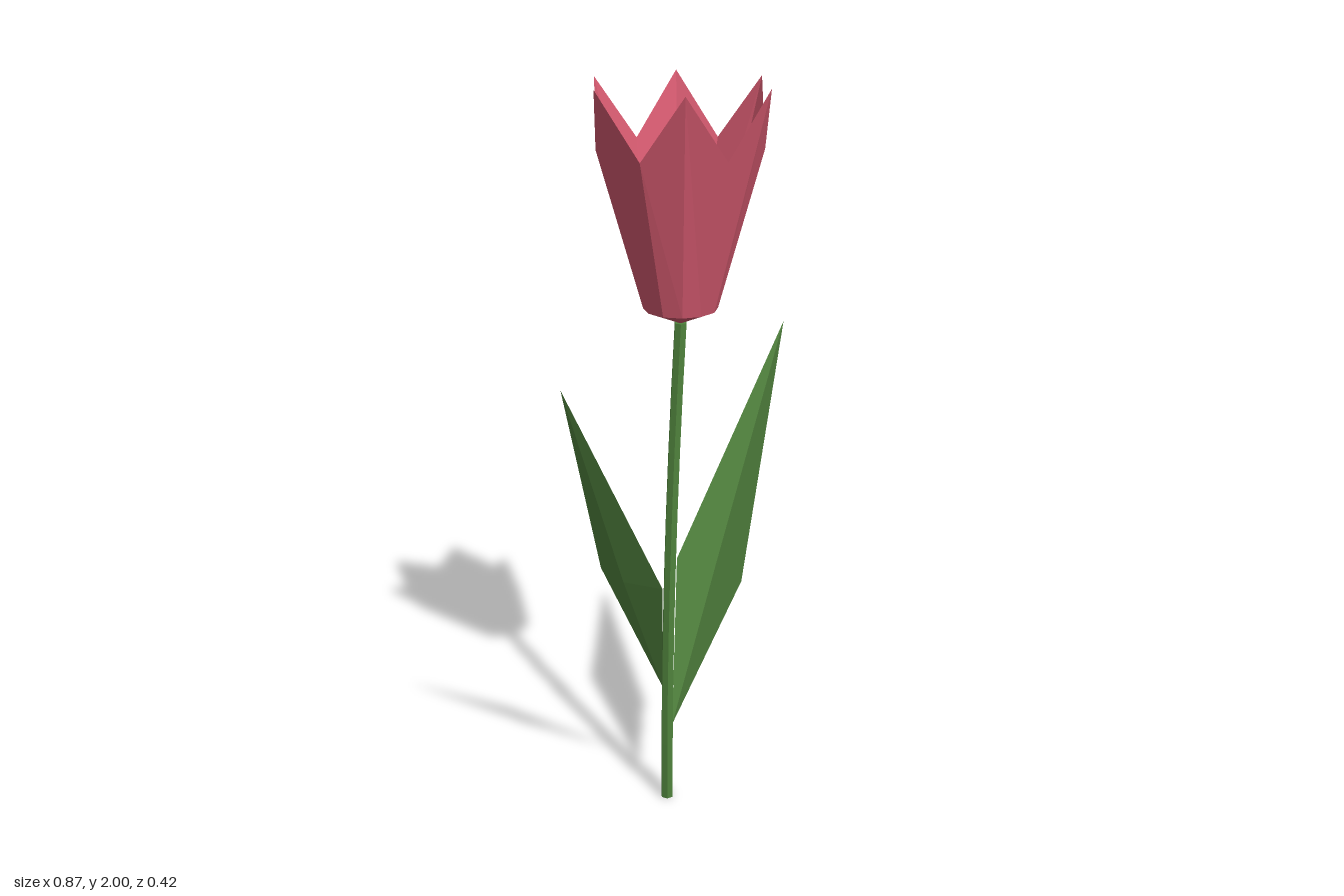
import * as THREE from 'three';

const material = (name, color, extra) =>
  Object.assign(new THREE.MeshStandardMaterial({ color, flatShading: true, ...extra }), { name });

// Folded leaf: base and tip joined by two side corners and a sunken midrib
function leafGeometry(base, sideA, rib, sideB, tip) {
  const g = new THREE.BufferGeometry();
  g.setAttribute('position', new THREE.Float32BufferAttribute([base, sideA, rib, sideB, tip].flat(), 3));
  g.setIndex([0, 1, 2, 1, 4, 2, 0, 2, 3, 2, 4, 3]);
  g.computeVertexNormals();
  return g;
}

export function createModel() {
  const group = new THREE.Group();
  const petalPink = material('petal pink', 0xd95c72, { side: THREE.DoubleSide });
  const leafGreen = material('leaf green', 0x568a42, { side: THREE.DoubleSide });
  const stemGreen = material('stem green', 0x4f823c);

  const add = (name, geometry, mat) => {
    const mesh = new THREE.Mesh(geometry, mat);
    mesh.name = name;
    group.add(mesh);
    return mesh;
  };

  // Stem: six-sided cylinder, bent gently towards the bloom
  const stem = new THREE.CylinderGeometry(0.017, 0.018, 1.402, 6, 8);
  stem.rotateY(Math.PI / 6 * 3).translate(0, 0.701, 0);
  const sp = stem.attributes.position;
  for (let i = 0; i < sp.count; i++) {
    const t = sp.getY(i) / 1.402;
    sp.setX(i, sp.getX(i) - 0.055 + 0.047 * t * t);
  }
  stem.computeVertexNormals();
  add('stem', stem, stemGreen);

  // Bloom: twelve-sided cup whose rim alternates between notches and points
  const profile = [[0, 1.4], [0.095, 1.44], [0.207, 1.84]].map(([r, y]) => new THREE.Vector2(r, y));
  const cup = new THREE.LatheGeometry(profile, 12);
  const cp = cup.attributes.position;
  for (let s = 1; s <= 12; s += 2) {
    const a = s * Math.PI / 6;
    cp.setXYZ(s * 3 + 2, 0.24 * Math.sin(a), 2, 0.24 * Math.cos(a));
  }
  cup.computeVertexNormals();
  add('bloom', cup, petalPink).position.x = -0.008;

  // Leaves
  add('leftLeaf', leafGeometry(
    [-0.037, 0.23, 0], [0.155, 0.65, 0.055], [0.149, 0.65, -0.064], [0.085, 0.65, -0.165], [0.43, 1.3, -0.15]), leafGreen);
  add('rightLeaf', leafGeometry(
    [-0.068, 0.36, 0], [-0.23, 0.75, -0.047], [-0.224, 0.75, 0.06], [-0.16, 0.75, 0.15], [-0.435, 1.34, 0.143]), leafGreen);

  return group;
}
